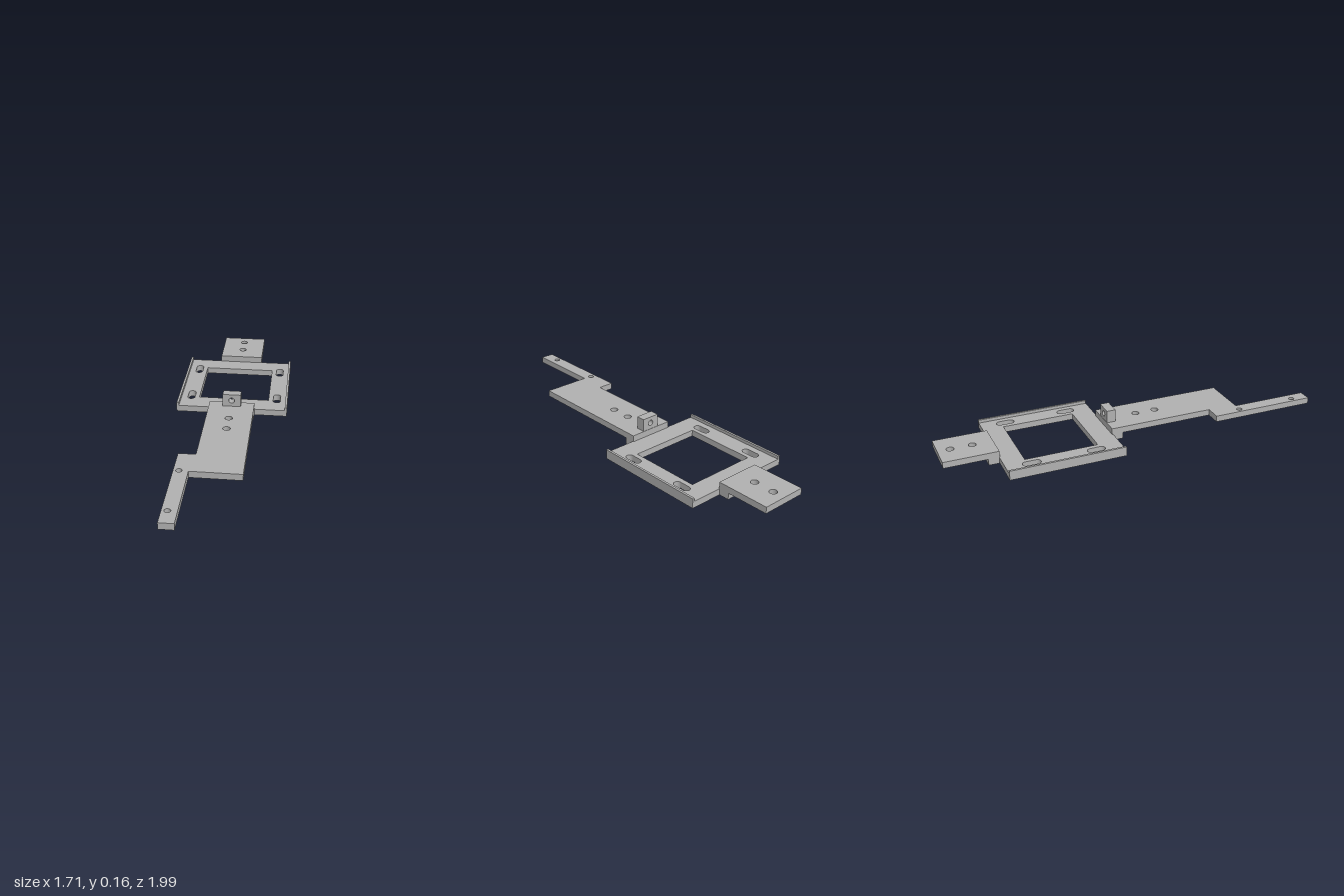
import * as THREE from 'three';

const rectPoints = (u0, v0, u1, v1) => [[u0, v0], [u1, v0], [u1, v1], [u0, v1]];

const polygon = (points, Type = THREE.Shape) =>
  new Type(points.map(([x, y]) => new THREE.Vector2(x, y)));

const roundHole = (u, v, r) => new THREE.Path().absarc(u, v, r, 0, Math.PI * 2, true);

// Slot running along u
function slotHole(u, v, length, r) {
  const h = length / 2 - r;
  const p = new THREE.Path();
  p.absarc(u + h, v, r, -Math.PI / 2, Math.PI / 2, false);
  p.absarc(u - h, v, r, Math.PI / 2, Math.PI * 1.5, false);
  p.closePath();
  return p;
}

export function createModel() {
  const model = new THREE.Group();
  model.name = 'mountingBracket';

  const grey = new THREE.MeshStandardMaterial({ color: 0xb0b0b0 });
  grey.name = 'plain grey';

  // Plan coordinates: u runs along the bracket, v across it
  const bracket = new THREE.Group();
  bracket.name = 'bracket';
  bracket.rotation.y = -Math.PI / 4;
  model.add(bracket);

  function add(name, geometry) {
    const mesh = new THREE.Mesh(geometry, grey);
    mesh.name = name;
    bracket.add(mesh);
  }

  // Flat plate cut from a plan outline, from height y0 to y1
  function plate(name, points, y0, y1, holes = []) {
    const shape = polygon(points);
    shape.holes.push(...holes);
    const g = new THREE.ExtrudeGeometry(shape, { depth: y1 - y0, bevelEnabled: false, curveSegments: 16 });
    g.rotateX(-Math.PI / 2).translate(0, y0, 0);
    add(name, g);
  }

  const U0 = -0.834, U1 = -0.104, V0 = -0.255, V1 = 0.4525;
  const armV0 = -0.04, armV1 = 0.246, midV = 0.1025;

  // Square frame with a window and four slots
  const slots = [];
  for (const u of [-0.676, -0.269])
    for (const v of [-0.177, 0.382]) slots.push(slotHole(u, v, 0.115, 0.0235));
  plate('frame', rectPoints(U0, V0, U1, V1), 0, 0.04,
    [polygon(rectPoints(-0.703, -0.124, -0.24, 0.328), THREE.Path), ...slots]);

  // Raised lips along both outer sides of the frame
  const lip = 0.014;
  plate('rightLip', rectPoints(U0, V0, U1, V0 + lip), 0.04, 0.06);
  plate('leftLip', rectPoints(U0, V1 - lip, U1, V1), 0.04, 0.06);

  // Low steps joining the frame to the raised plates
  plate('rearStep', rectPoints(U0 - 0.066, armV0, U0, armV1), 0, 0.04);
  plate('frontStep', rectPoints(U1, armV0, U1 + 0.066, armV1), 0, 0.04);

  // Rear tab
  plate('rearTab', rectPoints(-1.17, armV0, -0.83, armV1), 0.04, 0.08,
    [-1.092, -0.958].map(u => roundHole(u, midV, 0.0235)));

  // Wide arm with a narrow offset strip at its end
  plate('arm', [
    [-0.11, armV0], [0.569, armV0], [0.569, -0.143], [1.26, -0.143],
    [1.26, -0.057], [0.757, -0.057], [0.757, armV1], [-0.11, armV1],
  ], 0.04, 0.08, [
    roundHole(0.11, midV, 0.0235), roundHole(0.244, midV, 0.0235),
    roundHole(0.753, -0.11, 0.018), roundHole(1.149, -0.11, 0.018),
  ]);

  // Upright lug, bored lengthwise
  const lug = polygon(rectPoints(0.048, 0.08, 0.162, 0.16));
  lug.holes.push(roundHole(0.105, 0.12, 0.018));
  const lugGeometry = new THREE.ExtrudeGeometry(lug, { depth: 0.057, bevelEnabled: false, curveSegments: 16 });
  lugGeometry.rotateY(Math.PI / 2).translate(-0.108, 0, 0);
  add('lug', lugGeometry);

  return model;
}
